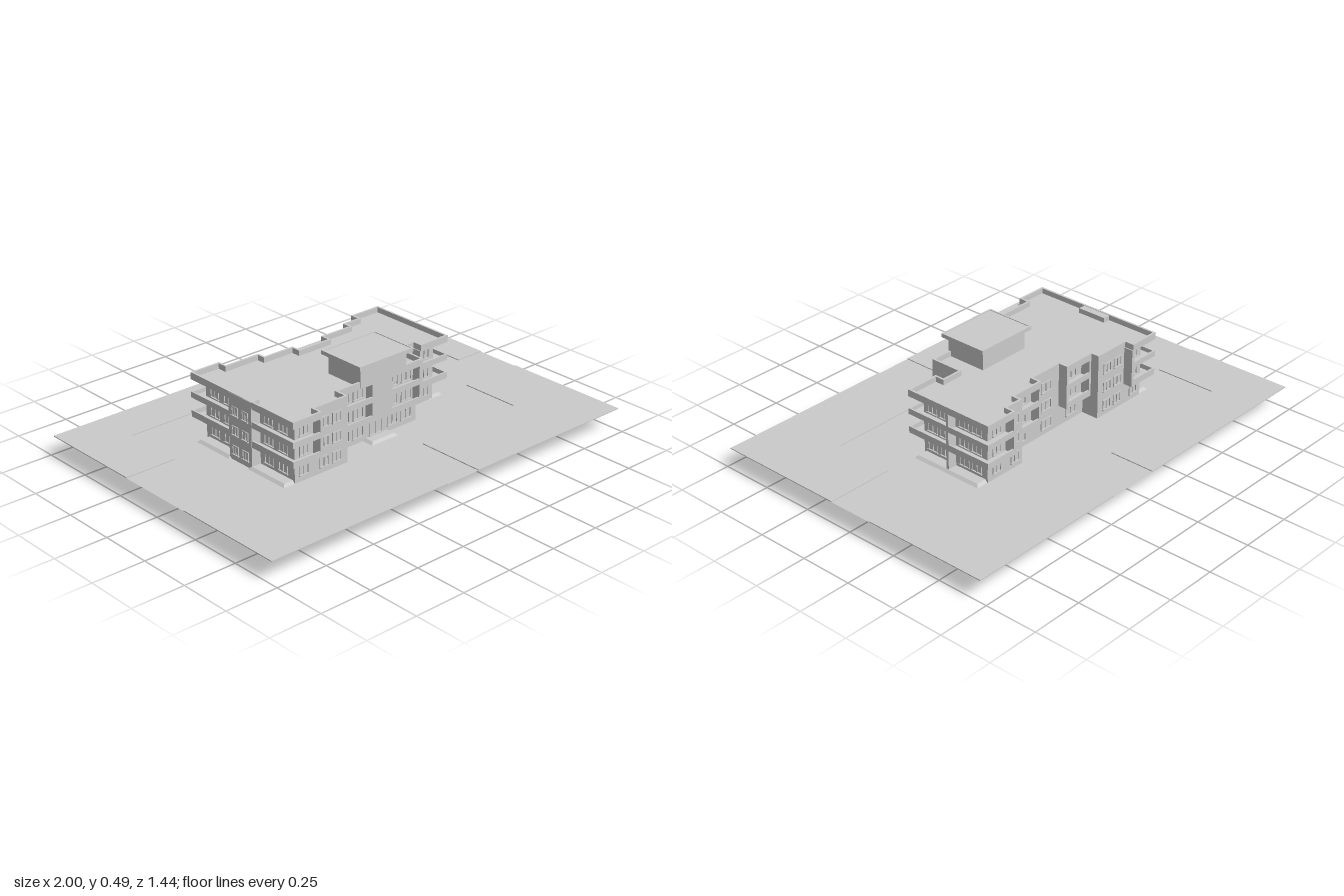
import * as THREE from 'three';

const material = new THREE.MeshStandardMaterial({ color: 0xcccccc, flatShading: true, side: THREE.DoubleSide });

function add(group, name, geometry) {
  const mesh = new THREE.Mesh(geometry, material);
  mesh.name = name;
  group.add(mesh);
  return mesh;
}

// Box given by its limits on each axis
function block(group, name, x0, x1, y0, y1, z0, z1) {
  const mesh = add(group, name, new THREE.BoxGeometry(x1 - x0, y1 - y0, z1 - z0));
  mesh.position.set((x0 + x1) / 2, (y0 + y1) / 2, (z0 + z1) / 2);
  return mesh;
}

// Moves every side of a right-angled [x, z] plan inwards by t
function inset(plan, t) {
  const n = plan.length;
  const area = plan.reduce((s, p, i) => s + p[0] * plan[(i + 1) % n][1] - plan[(i + 1) % n][0] * p[1], 0);
  const sign = Math.sign(area);
  const normal = (a, b) => [-sign * Math.sign(b[1] - a[1]) * t, sign * Math.sign(b[0] - a[0]) * t];
  return plan.map((p, i) => {
    const m = normal(plan[(i + n - 1) % n], p), k = normal(p, plan[(i + 1) % n]);
    return [p[0] + m[0] + k[0], p[1] + m[1] + k[1]];
  });
}

const toPoints = plan => plan.map(([x, z]) => new THREE.Vector2(x, -z));

// Upright extrusion of a plan; a wall thickness leaves it hollow
function storey(group, name, plan, y0, y1, wall = 0) {
  const shape = new THREE.Shape(toPoints(plan));
  if (wall) shape.holes.push(new THREE.Path(toPoints(inset(plan, wall))));
  const geometry = new THREE.ExtrudeGeometry(shape, { depth: y1 - y0, bevelEnabled: false });
  geometry.rotateX(-Math.PI / 2);
  add(group, name, geometry).position.y = y0;
}

// Low step whose top is drawn in on all sides
function step(group, name, x0, x1, z0, z1) {
  const mesh = block(group, name, x0, x1, 0.1, 0.112, z0, z1);
  const p = mesh.geometry.attributes.position;
  for (let i = 0; i < p.count; i++) {
    if (p.getY(i) > 0) p.setXYZ(i, p.getX(i) - Math.sign(p.getX(i)) * 0.012, p.getY(i), p.getZ(i) - Math.sign(p.getZ(i)) * 0.012);
  }
  mesh.geometry.computeVertexNormals();
}

// Window frame with a mullion and sill, facing the given angle about y
function windowFrame(group, x, y, z, angle, w, h) {
  const frame = new THREE.Group();
  frame.name = 'windowFrame';
  const t = 0.005;
  for (const s of [-1, 0, 1]) block(frame, 'frameUpright', s * w / 2 - t / 2, s * w / 2 + t / 2, 0, h, 0, 0.004);
  block(frame, 'lintel', -w / 2, w / 2, h - t, h, 0, 0.004);
  block(frame, 'sill', -w / 2 - t, w / 2 + t, 0, t, 0, 0.007);
  frame.position.set(x, y, z);
  frame.rotation.y = angle;
  group.add(frame);
}

export function createModel() {
  const model = new THREE.Group();
  model.name = 'apartmentBlock';

  // Site with raised lawns
  const ground = add(model, 'ground', new THREE.PlaneGeometry(2, 1.44));
  ground.rotation.x = -Math.PI / 2;
  ground.position.y = 0.1;
  const lawns = [
    [[0.12, 0.72], [0.12, 0.39], [0.68, 0.39], [0.68, 0.1], [1, 0.1], [1, 0.72]],
    [[-1, 0.72], [-0.06, 0.72], [-0.06, 0.42], [-0.71, 0.42], [-0.71, 0.18], [-1, 0.18]],
    [[1, -0.72], [0.2, -0.72], [0.2, -0.53], [0.85, -0.53], [0.85, -0.12], [1, -0.12]],
    [[-0.05, -0.72], [-0.05, -0.5], [-0.75, -0.5], [-0.75, -0.2], [-1, -0.2], [-1, -0.72]],
  ];
  for (const lawn of lawns) storey(model, 'lawn', lawn, 0.1, 0.104);

  // Solid core of the building, reaching below the ground
  const core = [
    [-0.52, -0.27], [-0.23, -0.27], [-0.23, -0.185], [0.26, -0.185], [0.26, -0.27], [0.47, -0.27],
    [0.47, 0.09], [0.26, 0.09], [0.26, 0.2], [-0.23, 0.2], [-0.23, 0.3], [-0.52, 0.3],
  ];
  storey(model, 'core', core, 0, 0.38);

  // Wider floor plan: balconies with parapets, and the roof
  const floor = [
    [-0.565, -0.315], [-0.41, -0.315], [-0.41, -0.27], [-0.23, -0.27], [-0.23, -0.23], [-0.07, -0.23],
    [-0.07, -0.185], [0.095, -0.185], [0.095, -0.23], [0.26, -0.23], [0.26, -0.27], [0.35, -0.27],
    [0.35, -0.315], [0.515, -0.315], [0.515, 0.135], [0.35, 0.135], [0.35, 0.09], [0.26, 0.09],
    [0.26, 0.242], [-0.23, 0.242], [-0.23, 0.3], [-0.41, 0.3], [-0.41, 0.345], [-0.565, 0.345],
  ];
  for (const [y, top] of [[0.2, 0.23], [0.29, 0.317]]) {
    storey(model, 'balconyFloor', floor, y, y + 0.008);
    storey(model, 'balconyParapet', floor, y, top, 0.008);
  }
  storey(model, 'roof', floor, 0.375, 0.382);
  storey(model, 'roofParapet', floor, 0.375, 0.407, 0.01);

  // Side walls closing the balconies
  const fins = [
    [-0.42, -0.405, 0.3, 0.345], [-0.42, -0.405, -0.315, -0.27],
    [0.345, 0.36, 0.09, 0.135], [0.345, 0.36, -0.315, -0.27],
    [-0.23, -0.218, 0.2, 0.242], [0.24, 0.26, 0.2, 0.242],
    [-0.23, -0.218, -0.23, -0.185], [-0.082, -0.07, -0.23, -0.185],
    [0.095, 0.107, -0.23, -0.185], [0.248, 0.26, -0.23, -0.185],
    [-0.035, 0.08, 0.2, 0.242],
  ];
  for (const [x0, x1, z0, z1] of fins) block(model, 'balconyWall', x0, x1, 0.2, 0.38, z0, z1);
  block(model, 'balconyDivider', 0.47, 0.515, 0.1, 0.38, -0.092, -0.08);
  block(model, 'sideBay', -0.567, -0.52, 0, 0.405, -0.06, 0.085);

  // Stair house on the roof
  block(model, 'stairHouse', -0.107, 0.156, 0.38, 0.472, 0.045, 0.245);
  block(model, 'stairHouseRoof', -0.13, 0.178, 0.472, 0.487, 0.025, 0.265);
  storey(model, 'stairHouseRim', [[-0.13, 0.025], [0.178, 0.025], [0.178, 0.265], [-0.13, 0.265]], 0.486, 0.49, 0.008);

  // Entrance and terraces
  block(model, 'entranceBase', -0.035, 0.08, 0, 0.1, 0.2, 0.245);
  step(model, 'entranceStep', -0.05, 0.1, 0.19, 0.258);
  step(model, 'rightTerrace', 0.45, 0.53, -0.268, 0.092);
  step(model, 'leftTerraceFront', -0.578, -0.5, 0.07, 0.3);
  step(model, 'leftTerraceBack', -0.578, -0.5, -0.268, -0.05);

  // Windows on each storey, by wall
  for (const y of [0.125, 0.215, 0.305]) {
    for (const x of [-0.47, -0.36, -0.29]) windowFrame(model, x, y, 0.3, 0, 0.045, 0.05);
    for (const x of [-0.16, -0.08, 0.12, 0.2]) windowFrame(model, x, y, 0.2, 0, 0.055, 0.055);
    for (const x of [0.305, 0.415]) windowFrame(model, x, y, 0.09, 0, 0.05, 0.05);
    for (const x of [-0.47, -0.36, -0.29, 0.305, 0.415]) windowFrame(model, x, y, -0.27, Math.PI, 0.045, 0.05);
    for (const x of [-0.15, 0.012, 0.175]) windowFrame(model, x, y, -0.185, Math.PI, 0.06, 0.05);
    for (const z of [-0.21, -0.14, -0.03, 0.04]) windowFrame(model, 0.47, y, z, Math.PI / 2, 0.05, 0.055);
    for (const z of [-0.21, -0.12, 0.14, 0.23]) windowFrame(model, -0.52, y, z, -Math.PI / 2, 0.05, 0.055);
    for (const z of [-0.02, 0.045]) windowFrame(model, -0.567, y, z, -Math.PI / 2, 0.035, 0.045);
  }
  windowFrame(model, 0.022, 0.112, 0.2, 0, 0.07, 0.07);
  return model;
}
